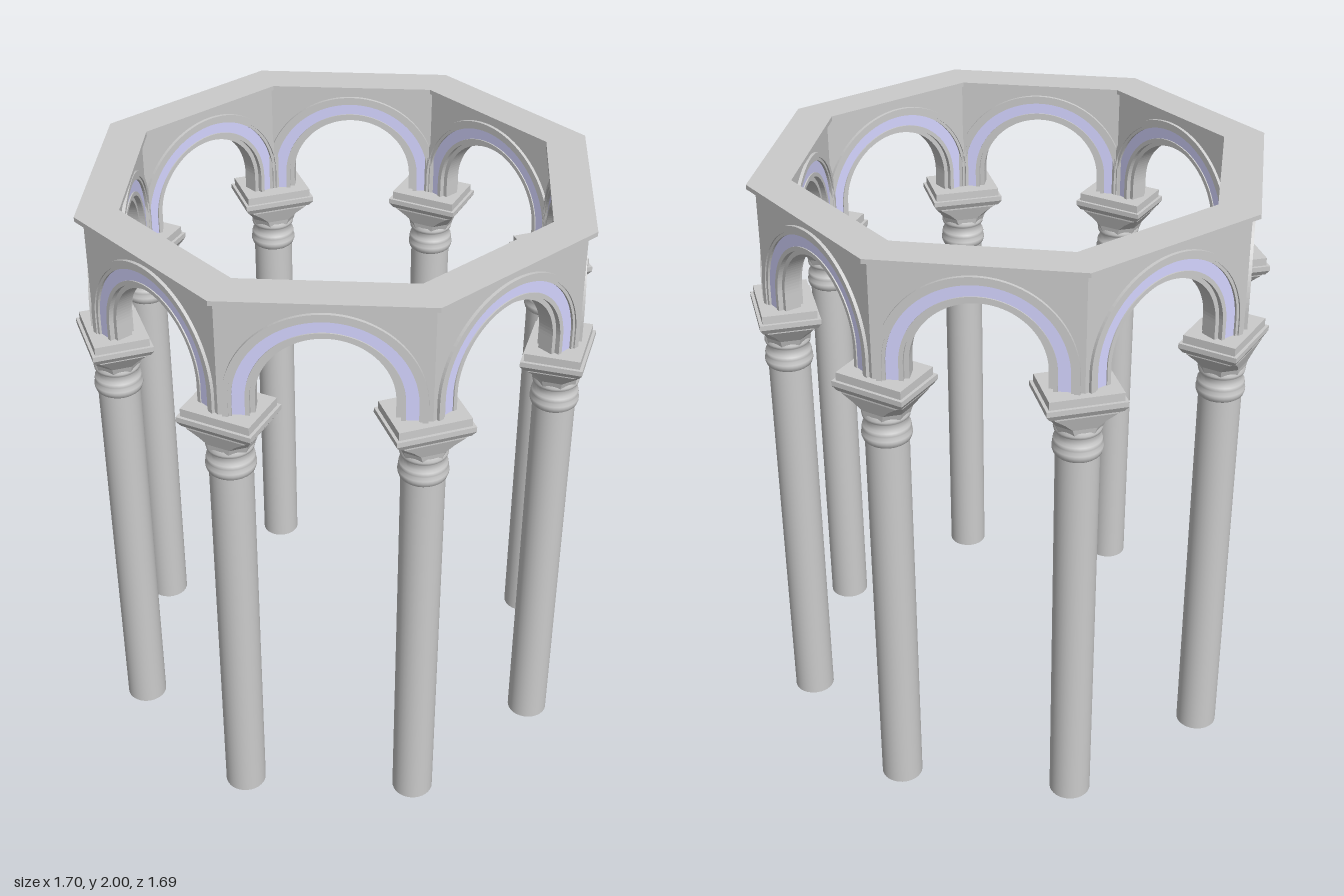
import * as THREE from 'three';

const grey = new THREE.MeshStandardMaterial({ color: 0xcccccc });
const blue = new THREE.MeshStandardMaterial({ color: 0xd4d4ff });
const SIDES = 8, STEP = Math.PI / 4, T = Math.tan(Math.PI / 8);
const SPRING = 1.655, BASE = 1.59, TOP = 1.985; // arch centre, wall foot, wall top
const OUT = 0.765, IN = 0.68, MID = (OUT + IN) / 2; // wall faces, measured from the axis

function part(name, geometry, material = grey) {
  const mesh = new THREE.Mesh(geometry, material);
  mesh.name = name;
  return mesh;
}

// Extrude a shape to a given thickness, centred on the middle of the wall
function wallExtrude(shape, thickness) {
  const g = new THREE.ExtrudeGeometry(shape, { depth: thickness, bevelEnabled: false, curveSegments: 28 });
  return g.translate(0, 0, MID - thickness / 2);
}

// Stilted arch band between two radii
function archBand(rIn, rOut, thickness) {
  const s = new THREE.Shape();
  s.moveTo(rOut, BASE);
  s.lineTo(rOut, SPRING);
  s.absarc(0, SPRING, rOut, 0, Math.PI, false);
  s.lineTo(-rOut, BASE);
  s.lineTo(-rIn, BASE);
  s.lineTo(-rIn, SPRING);
  s.absarc(0, SPRING, rIn, Math.PI, 0, true);
  s.lineTo(rIn, BASE);
  return wallExtrude(s, thickness);
}

// Wall panel with an arched opening; its ends are mitred to meet the neighbours
function wallPanel(r) {
  const h = MID * T;
  const s = new THREE.Shape();
  s.moveTo(h, BASE);
  s.lineTo(h, TOP);
  s.lineTo(-h, TOP);
  s.lineTo(-h, BASE);
  s.lineTo(-r, BASE);
  s.lineTo(-r, SPRING);
  s.absarc(0, SPRING, r, Math.PI, 0, true);
  s.lineTo(r, BASE);
  const g = wallExtrude(s, OUT - IN);
  const p = g.attributes.position;
  for (let i = 0; i < p.count; i++) {
    if (Math.abs(p.getX(i)) > h - 0.001) p.setX(i, Math.sign(p.getX(i)) * p.getZ(i) * T);
  }
  g.computeVertexNormals();
  return g;
}

// Loft through rectangles with cut corners: [y, half width, half depth, corner cut]
function loft(sections) {
  const pos = [], idx = [];
  for (const [y, w, d, c] of sections) {
    const ring = [[w, d - c], [w - c, d], [c - w, d], [-w, d - c], [-w, c - d], [c - w, -d], [w - c, -d], [w, c - d]];
    for (const [x, z] of ring) pos.push(x, y, z);
  }
  for (let k = 0; k < sections.length - 1; k++) {
    for (let i = 0; i < 8; i++) {
      const a = k * 8 + i, b = k * 8 + (i + 1) % 8;
      idx.push(a, a + 8, b, b, a + 8, b + 8);
    }
  }
  const g = new THREE.BufferGeometry();
  g.setAttribute('position', new THREE.Float32BufferAttribute(pos, 3));
  g.setIndex(idx);
  const flat = g.toNonIndexed();
  flat.computeVertexNormals();
  return flat;
}

function octagon(path, apothem) {
  const r = apothem / Math.cos(Math.PI / 8);
  for (let i = 0; i < SIDES; i++) {
    const a = (i + 0.5) * STEP;
    path[i ? 'lineTo' : 'moveTo'](r * Math.cos(a), r * Math.sin(a));
  }
  path.closePath();
  return path;
}

export function createModel() {
  const model = new THREE.Group();
  model.name = 'octagonalArcade';

  // Shared column parts
  const shaft = new THREE.CylinderGeometry(0.069, 0.069, 1.38, 32).translate(0, 0.69, 0);
  const neckProfile = [
    [0.068, 1.36], [0.075, 1.366], [0.079, 1.378], [0.079, 1.388], [0.074, 1.398], [0.077, 1.405],
    [0.075, 1.415], [0.069, 1.422], [0.068, 1.44], [0.074, 1.446], [0.076, 1.455], [0.072, 1.466],
  ].map(([r, y]) => new THREE.Vector2(r, y));
  const neck = new THREE.LatheGeometry(neckProfile, 32);
  const bell = loft([
    [1.455, 0, 0, 0], [1.455, 0.07, 0.068, 0.04], [1.48, 0.078, 0.072, 0.04],
    [1.505, 0.095, 0.08, 0.032], [1.53, 0.112, 0.088, 0.015], [1.54, 0.112, 0.088, 0.01], [1.54, 0, 0, 0],
  ]);
  const abacus = loft([
    [1.535, 0, 0, 0], [1.535, 0.114, 0.088, 0], [1.553, 0.126, 0.098, 0], [1.57, 0.126, 0.098, 0],
    [1.57, 0.116, 0.088, 0], [1.597, 0.116, 0.088, 0], [1.597, 0, 0, 0],
  ]);

  // Columns under the corners
  const R = 0.764;
  for (let i = 0; i < SIDES; i++) {
    const a = (i + 0.5) * STEP;
    const column = new THREE.Group();
    column.name = 'column';
    column.position.set(R * Math.sin(a), 0, R * Math.cos(a));
    column.rotation.y = a + (i === 2 ? 0.16 : 0); // one capital sits slightly turned
    column.add(part('shaft', shaft), part('neckRings', neck), part('capital', bell), part('abacus', abacus));
    model.add(column);
  }

  // Arched walls with stepped arch bands
  const t = OUT - IN;
  const panel = wallPanel(0.28);
  const hood = archBand(0.285, 0.303, t + 0.022);
  const fillet = archBand(0.275, 0.287, t + 0.012);
  const colouredBand = archBand(0.235, 0.277, t - 0.004);
  const innerBand = archBand(0.222, 0.236, t + 0.004);
  const soffitBand = archBand(0.207, 0.223, t - 0.03);
  for (let i = 0; i < SIDES; i++) {
    const bay = new THREE.Group();
    bay.name = 'archBay';
    bay.rotation.y = i * STEP;
    bay.add(
      part('wallPanel', panel), part('hoodMoulding', hood), part('archFillet', fillet),
      part('colouredArchBand', colouredBand, blue), part('innerArchBand', innerBand), part('soffitBand', soffitBand),
    );
    model.add(bay);
  }

  // Thin octagonal cornice
  const ring = octagon(new THREE.Shape(), 0.79);
  ring.holes.push(octagon(new THREE.Path(), 0.66));
  const cornice = new THREE.ExtrudeGeometry(ring, { depth: 0.015, bevelEnabled: false });
  cornice.rotateX(-Math.PI / 2).translate(0, TOP, 0);
  model.add(part('cornice', cornice));

  model.position.x = -0.008;
  return model;
}
